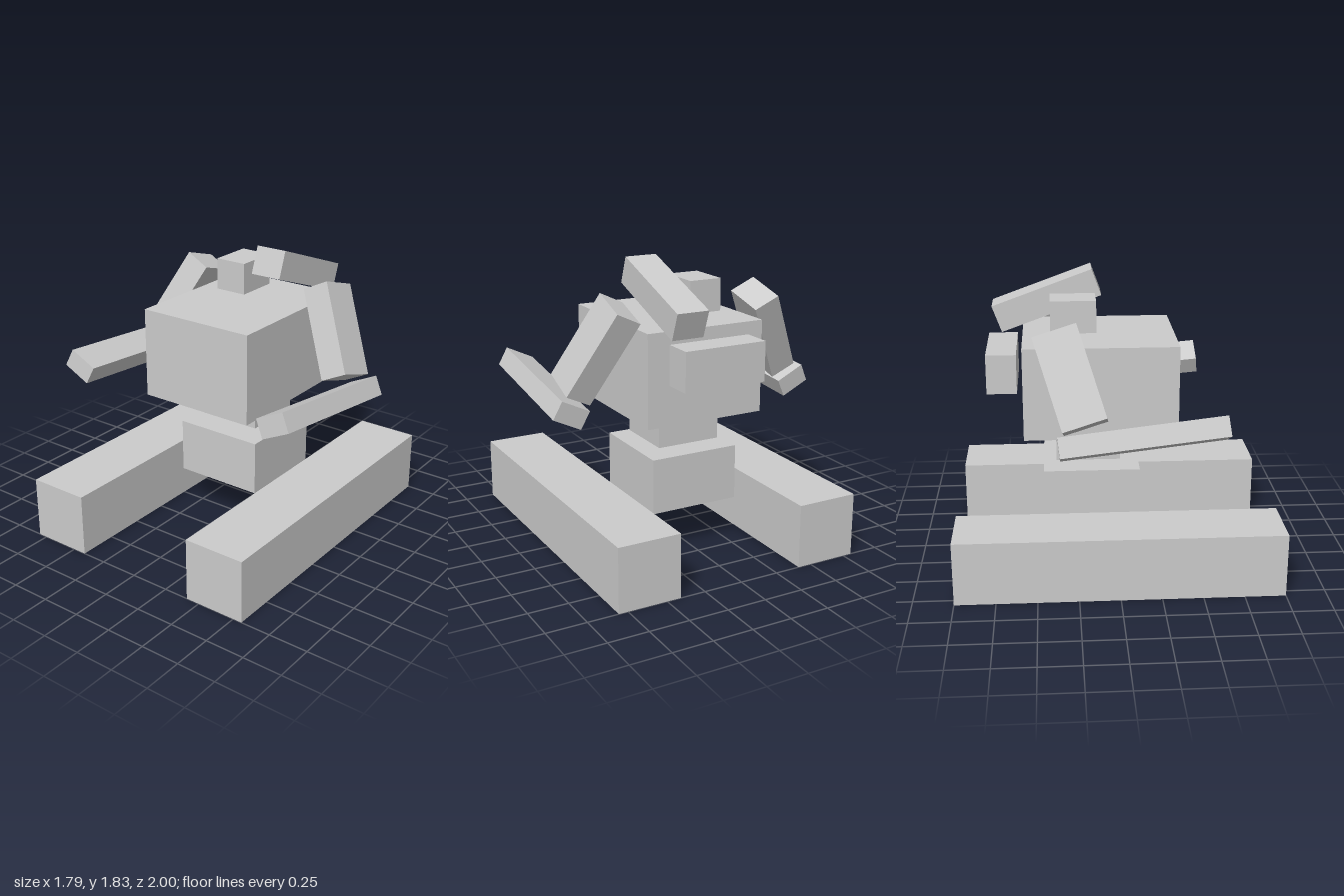
import * as THREE from 'three';

const material = new THREE.MeshStandardMaterial({ color: 0xcccccc, flatShading: true });

// Named box from its size and centre
function box(name, size, centre) {
  const mesh = new THREE.Mesh(new THREE.BoxGeometry(...size), material);
  mesh.name = name;
  mesh.position.set(...centre);
  return mesh;
}

// Turn a box so its width follows "across" and its depth follows "forward"
function orient(mesh, across, forward) {
  const z = new THREE.Vector3(...forward).normalize();
  const y = z.clone().cross(new THREE.Vector3(...across)).normalize();
  const x = y.clone().cross(z);
  mesh.quaternion.setFromRotationMatrix(new THREE.Matrix4().makeBasis(x, y, z));
  return mesh;
}

// One arm; side is +1 for left, -1 for right
function createArm(side) {
  const arm = new THREE.Group();
  arm.name = side > 0 ? 'leftArm' : 'rightArm';
  // Mirroring flips the across vector as well, so the boxes stay right-handed
  const across = (x, y, z) => [x, side * y, side * z];
  arm.add(
    orient(box('upperArm', [0.172, 0.58, 0.27], [side * 0.59, 1.326, -0.285]),
      across(0.155, 0.075, -0.012), [side * -0.015, 0.078, 0.257]),
    orient(box('forearm', [0.195, 0.123, 0.986], [side * 0.76, 1.018, 0.13]),
      across(0.175, 0.085, 0), [side * -0.042, 0.098, 0.98])
  );
  return arm;
}

export function createModel() {
  const model = new THREE.Group();
  model.name = 'trackedRobot';

  // Body stack
  model.add(
    box('hips', [0.585, 0.35, 0.6], [0, 0.46, -0.15]),
    box('waist', [0.415, 0.165, 0.4], [0, 0.758, -0.17]),
    box('torso', [0.78, 0.575, 0.945], [0, 1.167, -0.095]),
    box('head', [0.21, 0.2, 0.28], [-0.095, 1.597, -0.255]),
    box('backpack', [0.535, 0.245, 0.185], [0, 1.263, -0.697])
  );

  // Shoulder cannon, tilted upward at the front
  const cannon = box('cannon', [0.205, 0.177, 0.67], [0.203, 1.63, -0.415]);
  cannon.rotation.x = -0.35;
  model.add(cannon);

  // Tracks and arms on both sides
  for (const side of [1, -1]) {
    model.add(box(side > 0 ? 'leftTrack' : 'rightTrack', [0.396, 0.4, 2], [side * 0.61, 0.2, 0]));
    model.add(createArm(side));
  }
  return model;
}
